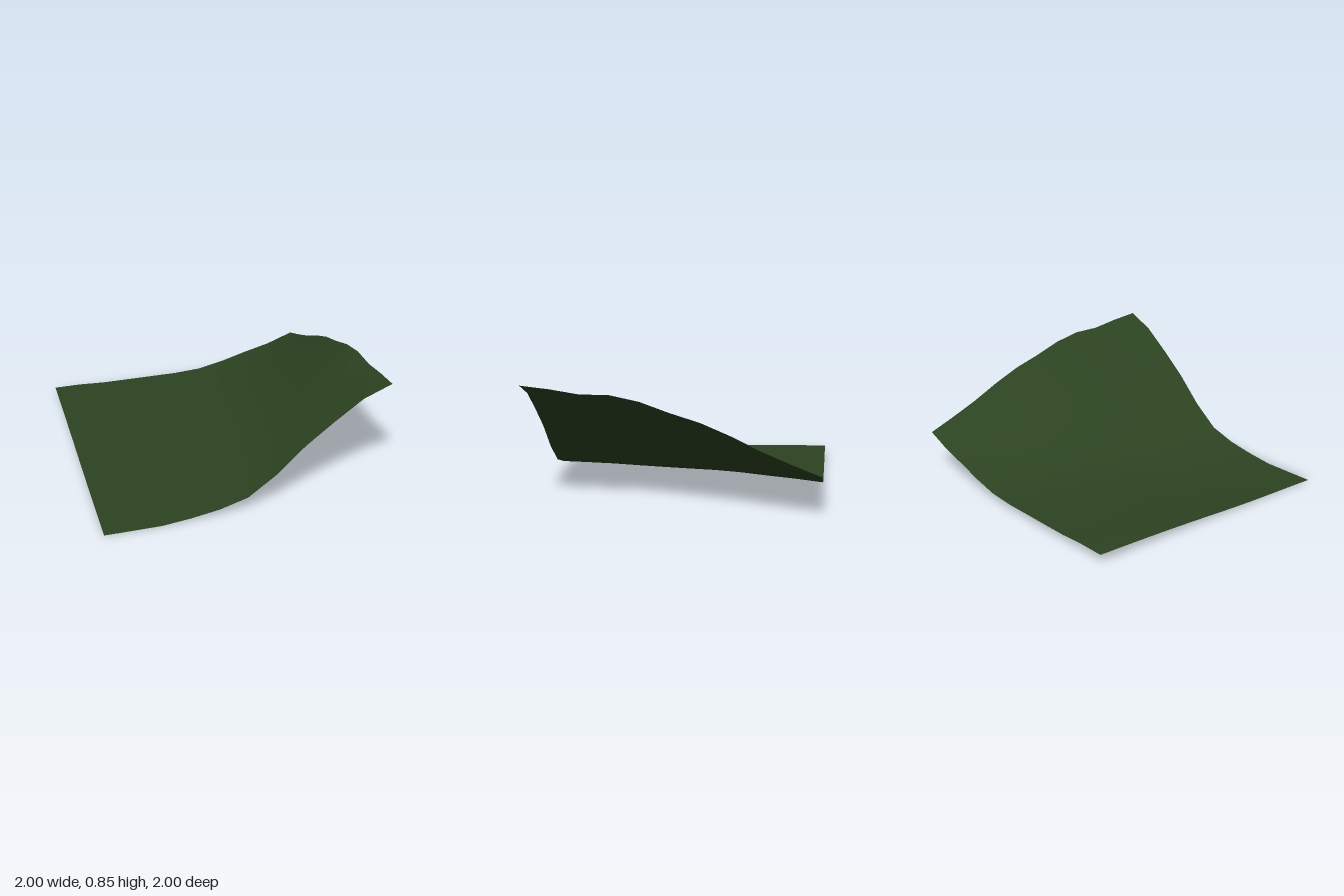
import * as THREE from 'three';

// Heights at eleven even steps from -1 to 1
const BACK = [0.06, 0.06, 0.05, 0.05, 0.05, 0.05, 0.062, 0.105, 0.163, 0.215, 0.29]; // along x at z = -1
const FRONT = [0, 0, 0.003, 0.025, 0.058, 0.118, 0.266, 0.46, 0.618, 0.765, 0.85]; // along x at z = 1
const CREST = [0.29, 0.367, 0.45, 0.547, 0.63, 0.69, 0.76, 0.8, 0.8, 0.83, 0.85]; // along z at x = 1

// Blend from the back edge to the front edge: an even rise inland, following the crest towards x = 1
function height(x, z) {
  const i = Math.round((x + 1) * 5);
  const j = Math.round((z + 1) * 5);
  const crestRise = (CREST[j] - CREST[0]) / (CREST[10] - CREST[0]);
  const evenRise = (j / 10) ** 1.2;
  const t = THREE.MathUtils.lerp(evenRise, crestRise, Math.max(0, x) ** 3);
  // shallow hollow in the low ground
  const hollow = 0.026 * Math.exp(-(((x + 0.6) / 0.4) ** 2) - ((z - 0.3) / 0.45) ** 2);
  return Math.max(0, THREE.MathUtils.lerp(BACK[i], FRONT[i], t) - hollow);
}

export function createModel() {
  const group = new THREE.Group();
  group.name = 'terrain';

  // Grassy hillside sheet
  const geometry = new THREE.PlaneGeometry(2, 2, 10, 10).rotateX(-Math.PI / 2);
  const pos = geometry.attributes.position;
  for (let k = 0; k < pos.count; k++) pos.setY(k, height(pos.getX(k), pos.getZ(k)));
  geometry.computeVertexNormals();

  const grass = new THREE.MeshStandardMaterial({ color: 0x2c4321, side: THREE.DoubleSide });
  const hillside = new THREE.Mesh(geometry, grass);
  hillside.name = 'hillside';
  group.add(hillside);
  return group;
}
